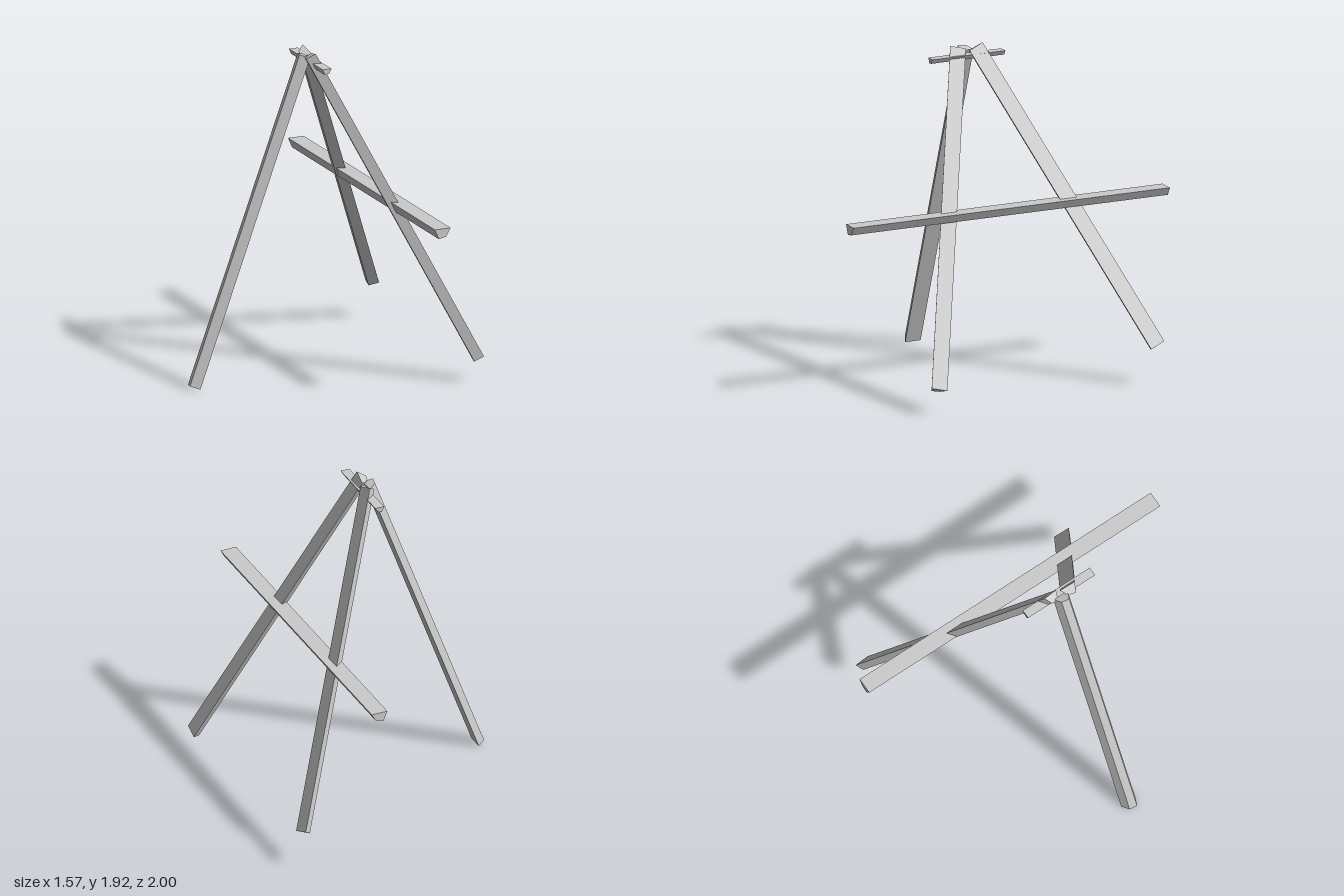
import * as THREE from 'three';

const material = new THREE.MeshStandardMaterial({ color: 0xcccccc, flatShading: true });

// Split-log stick: one flat face, faceted belly; start and end lie on the flat face's centre line.
// The flat face's normal is (end - start) x across.
function stick(name, start, end, across, width, depth) {
  const a = new THREE.Vector3(...start);
  const along = new THREE.Vector3(...end).sub(a);
  const length = along.length();
  along.normalize();
  const side = new THREE.Vector3(...across);
  side.addScaledVector(along, -side.dot(along)).normalize();
  const up = new THREE.Vector3().crossVectors(along, side);

  const profile = new THREE.Shape([
    [-0.5, 0], [-0.25, -1], [0.22, -0.84], [0.5, 0],
  ].map(([u, v]) => new THREE.Vector2(u * width, v * depth)));
  const geometry = new THREE.ExtrudeGeometry(profile, { depth: length, bevelEnabled: false });
  geometry.applyMatrix4(new THREE.Matrix4().makeBasis(side, up, along).setPosition(a));

  const mesh = new THREE.Mesh(geometry, material);
  mesh.name = name;
  return mesh;
}

export function createModel() {
  const model = new THREE.Group();
  model.name = 'easel';
  model.add(
    // Three legs, leaning together at the top
    stick('frontLeg', [-0.035, 1.907, 0.117], [0.78, 0.152, 0.633], [0.01, -0.025, -0.095], 0.098, 0.057),
    stick('rearLeg', [-0.02, 1.903, 0.01], [0.752, 0.24, -0.761], [-0.02, 0.04, -0.088], 0.098, 0.057),
    stick('supportLeg', [-0.05, 1.88, 0.06], [-0.735, 0, 0.06], [0, 0, -1], 0.098, 0.057),
    // Shelf bar across the two slanted legs
    stick('shelfBar', [0.371, 1.058, -1], [0.371, 1.058, 1], [1, 0, 0], 0.098, 0.058),
    // Short peg tying the legs at the top
    stick('topPeg', [-0.028, 1.862, -0.165], [-0.028, 1.862, 0.295], [1, 0, 0], 0.055, 0.032),
  );
  return model;
}
